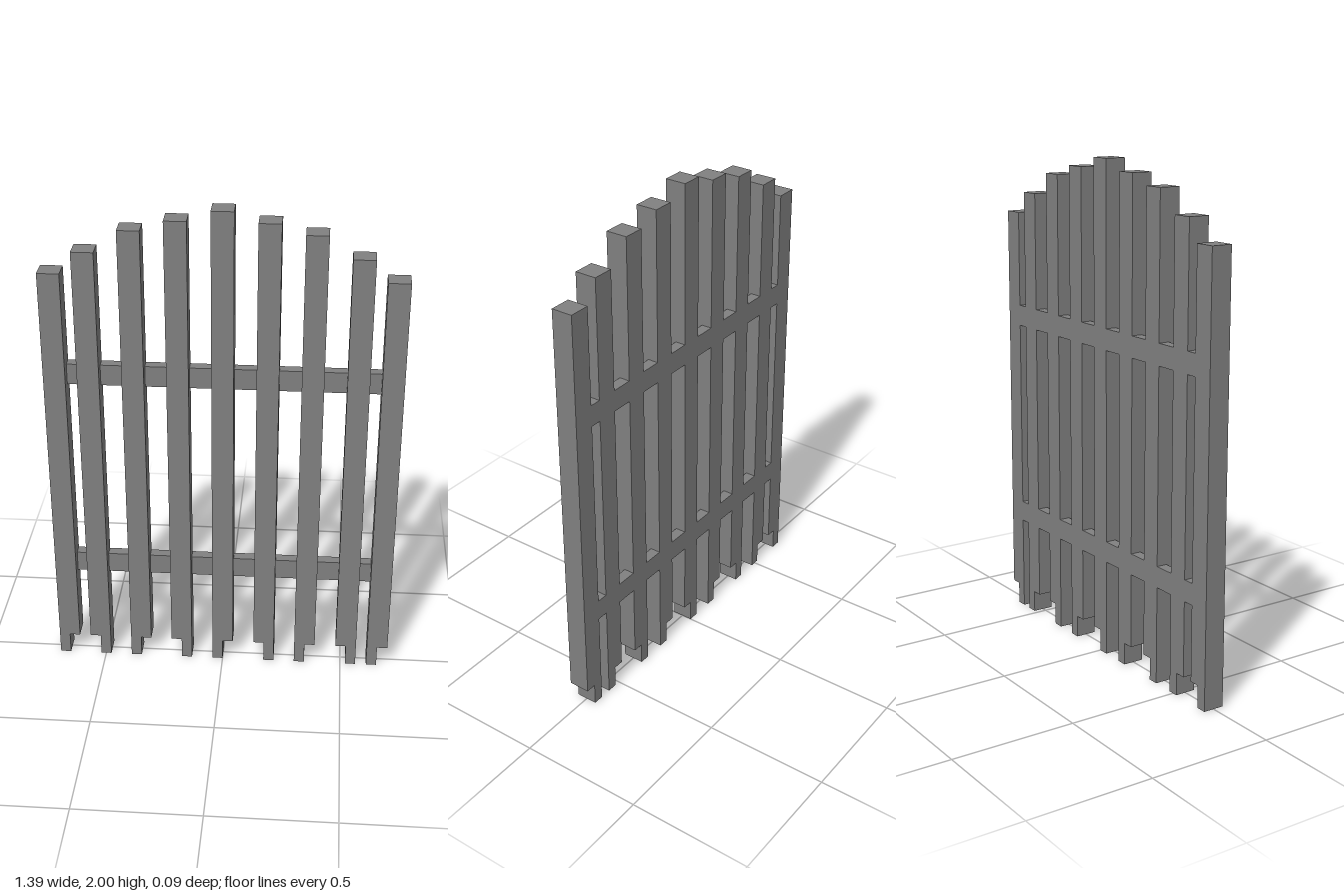
import * as THREE from 'three';

const HALF = 0.043; // half the thickness of a bar

// Upright bar whose bottom is notched to a half-width foot on one side (-1 or 1)
function barGeometry(height, footSide) {
  const s = footSide * HALF, notch = 0.09;
  const shape = new THREE.Shape([
    [s, 0], [s, height], [-s, height], [-s, notch], [0, notch], [0, 0],
  ].map(([x, y]) => new THREE.Vector2(x, y)));
  return new THREE.ExtrudeGeometry(shape, { depth: 2 * HALF, bevelEnabled: false })
    .translate(0, 0, -HALF);
}

export function createModel() {
  const group = new THREE.Group();
  group.name = 'barredGate';
  const iron = new THREE.MeshStandardMaterial({ color: 0x808080 });
  iron.name = 'grey iron';

  // Bars form a stepped arch; their feet alternate left and right
  const centres = [-0.653, -0.521, -0.347, -0.174, 0, 0.174, 0.347, 0.521, 0.653];
  const heights = [1.74, 1.828, 1.917, 1.958, 2];
  centres.forEach((x, i) => {
    const height = heights[Math.min(i, 8 - i)];
    const bar = new THREE.Mesh(barGeometry(height, i % 2 ? 1 : -1), iron);
    bar.name = 'bar' + (i + 1);
    bar.position.x = x;
    group.add(bar);
  });

  // Rails fill the gaps between bars, flush with the back
  for (const [name, y] of [['lowerRail', 0.438], ['upperRail', 1.306]]) {
    const rail = new THREE.Group();
    rail.name = name;
    for (let i = 0; i < centres.length - 1; i++) {
      const a = centres[i] + HALF, b = centres[i + 1] - HALF;
      const piece = new THREE.Mesh(new THREE.BoxGeometry(b - a, 2 * HALF, HALF), iron);
      piece.name = 'railPiece' + (i + 1);
      piece.position.set((a + b) / 2, y, -HALF / 2);
      rail.add(piece);
    }
    group.add(rail);
  }
  return group;
}
